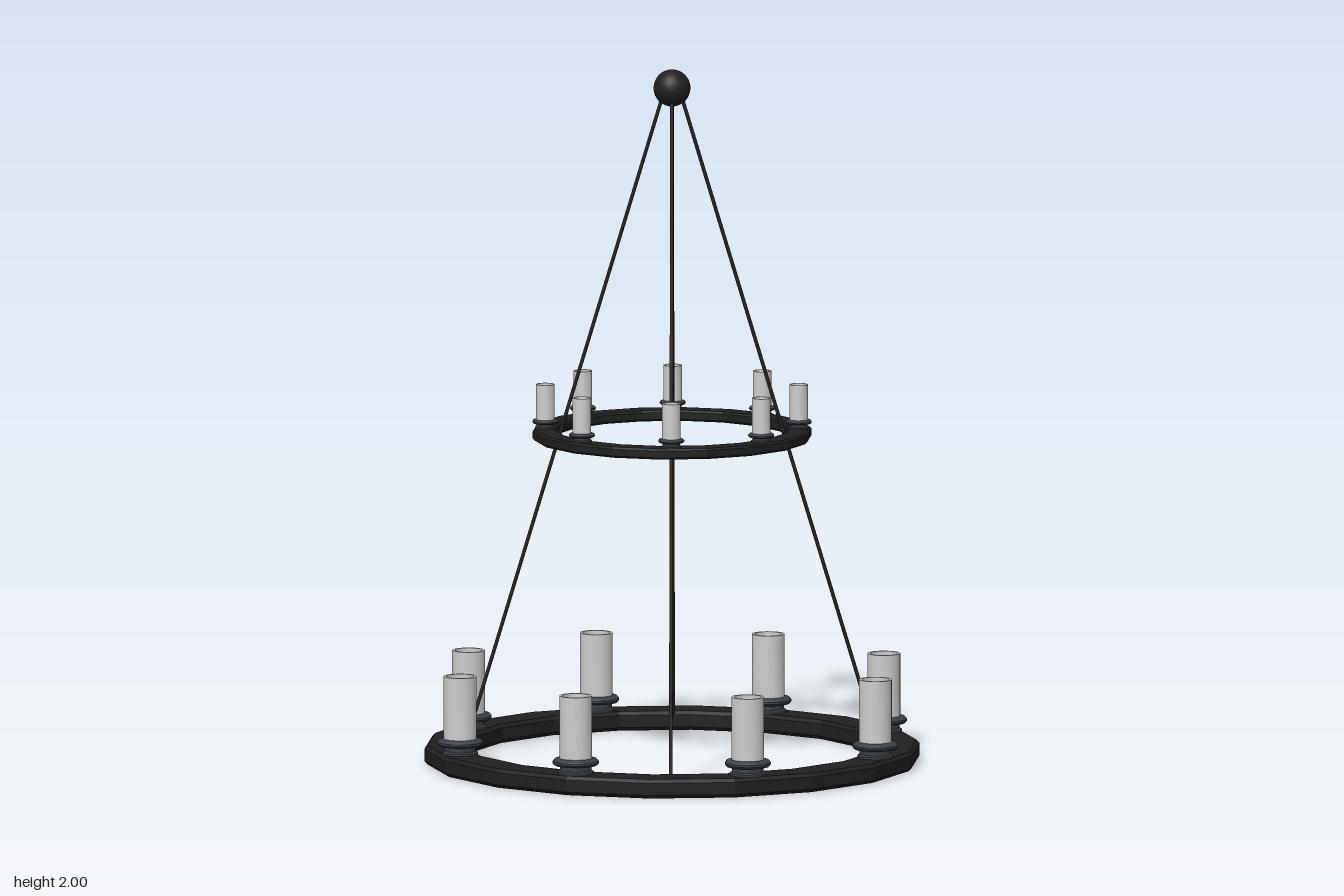
import * as THREE from 'three';
import { toCreasedNormals } from 'three/addons/utils/BufferGeometryUtils.js';

const ironMat = new THREE.MeshStandardMaterial({ color: 0x202021 });
ironMat.name = 'black iron';
const ringMat = new THREE.MeshStandardMaterial({ color: 0x202021, flatShading: true });
ringMat.name = 'black iron faceted';
const holderMat = new THREE.MeshStandardMaterial({ color: 0x393f46 });
holderMat.name = 'dark steel';
const shadeMat = new THREE.MeshStandardMaterial({ color: 0xcdcdcd });
shadeMat.name = 'pale glass';

const TIER_ANGLE = THREE.MathUtils.degToRad(25);
const RING_TOP = 0.055;

function mesh(name, geometry, material) {
  const m = new THREE.Mesh(geometry, material);
  m.name = name;
  return m;
}

// Revolves [radius, height] pairs, listed outside-up then inside-down
function lathe(pairs, segments) {
  return new THREE.LatheGeometry(pairs.map(([r, y]) => new THREE.Vector2(r, y)), segments);
}

// Bevelled hoop with 18 flat sides
const ringGeo = lathe([
  [0.6, 0], [0.7, 0], [0.71, 0.01], [0.71, 0.045], [0.7, RING_TOP],
  [0.602, RING_TOP], [0.592, 0.045], [0.592, 0.01], [0.6, 0],
], 18);

// Neck and rounded drip plate
const holderGeo = toCreasedNormals(lathe([
  [0, 0], [0.052, 0], [0.052, 0.006], [0.045, 0.01], [0.045, 0.022], [0.06, 0.024], [0.066, 0.03],
  [0.066, 0.036], [0.06, 0.043], [0.05, 0.045], [0, 0.045],
], 24), 0.7);

// Open tube with a closed floor inside
const shadeGeo = toCreasedNormals(lathe([
  [0.047, 0.04], [0.047, 0.225], [0.039, 0.225], [0.039, 0.06], [0, 0.06],
], 24), 0.7);

const bulbGeo = lathe([
  [0.014, 0.06], [0.015, 0.08], [0.023, 0.11], [0.022, 0.125], [0.016, 0.138], [0.008, 0.144], [0, 0.146],
], 16);

function makeLight() {
  const g = new THREE.Group();
  g.name = 'light';
  g.add(
    mesh('holder', holderGeo, holderMat),
    mesh('shade', shadeGeo, shadeMat),
    mesh('bulb', bulbGeo, shadeMat),
  );
  return g;
}

// One hoop carrying eight lights
function makeTier(name, angle) {
  const tier = new THREE.Group();
  tier.name = name;
  tier.add(mesh('ring', ringGeo, ringMat));
  for (let i = 0; i < 8; i++) {
    const a = angle + i * Math.PI / 4;
    const light = makeLight();
    light.position.set(0.643 * Math.cos(a), RING_TOP, -0.643 * Math.sin(a));
    tier.add(light);
  }
  return tier;
}

// Straight cable between two points
function makeCable(from, to) {
  const dir = to.clone().sub(from);
  const cable = mesh('cable', new THREE.CylinderGeometry(0.0055, 0.0055, dir.length(), 8), ironMat);
  cable.position.copy(from).add(to).multiplyScalar(0.5);
  cable.quaternion.setFromUnitVectors(new THREE.Vector3(0, 1, 0), dir.normalize());
  return cable;
}

export function createModel() {
  const model = new THREE.Group();
  model.name = 'chandelier';

  model.add(makeTier('lowerTier', 0));
  const upper = makeTier('upperTier', TIER_ANGLE);
  upper.scale.setScalar(0.563);
  upper.position.y = 0.933;
  model.add(upper);

  // Ceiling ball
  const ball = mesh('ceilingBall', new THREE.SphereGeometry(0.053, 24, 16), ironMat);
  ball.position.y = 1.947;
  model.add(ball);

  // Four cables from the ball to the lower ring
  for (let i = 0; i < 4; i++) {
    const a = TIER_ANGLE + i * Math.PI / 2;
    const at = (r, y) => new THREE.Vector3(r * Math.cos(a), y, -r * Math.sin(a));
    model.add(makeCable(at(0.596, 0.03), at(0.022, 1.94)));
  }
  return model;
}
